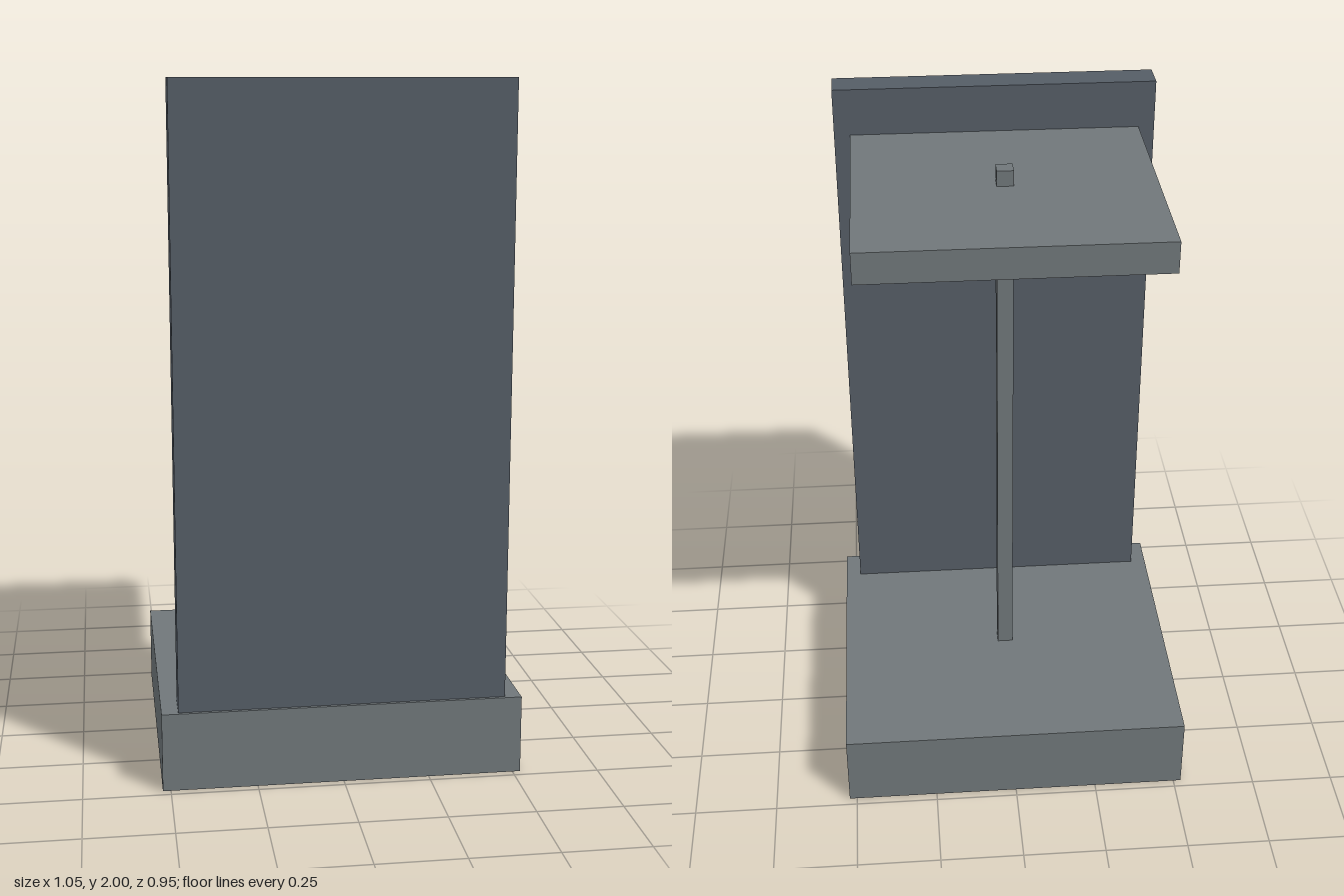
import * as THREE from 'three';

const stone = new THREE.MeshStandardMaterial({ color: 0x70777a });
const slate = new THREE.MeshStandardMaterial({ color: 0x555d66 });

// Box spanning two corners
function slab(name, [x0, y0, z0], [x1, y1, z1], material) {
  const geometry = new THREE.BoxGeometry(x1 - x0, y1 - y0, z1 - z0);
  const mesh = new THREE.Mesh(geometry, material);
  mesh.position.set((x0 + x1) / 2, (y0 + y1) / 2, (z0 + z1) / 2);
  mesh.name = name;
  return mesh;
}

export function createModel() {
  const group = new THREE.Group();
  group.name = 'shelter';
  group.add(
    // Thick floor block
    slab('base', [-0.523, 0, -0.475], [0.523, 0.23, 0.475], stone),
    // Tall upright panel at the front
    slab('frontPanel', [-0.475, 0.23, 0.37], [0.475, 2, 0.465], slate),
    // Flat canopy, its front edge set into the panel
    slab('canopy', [-0.428, 1.768, -0.4], [0.428, 1.86, 0.4], stone),
    // Thin square post passing through the canopy
    slab('post', [-0.024, 0.23, -0.024], [0.024, 1.906, 0.024], stone),
  );
  return group;
}
